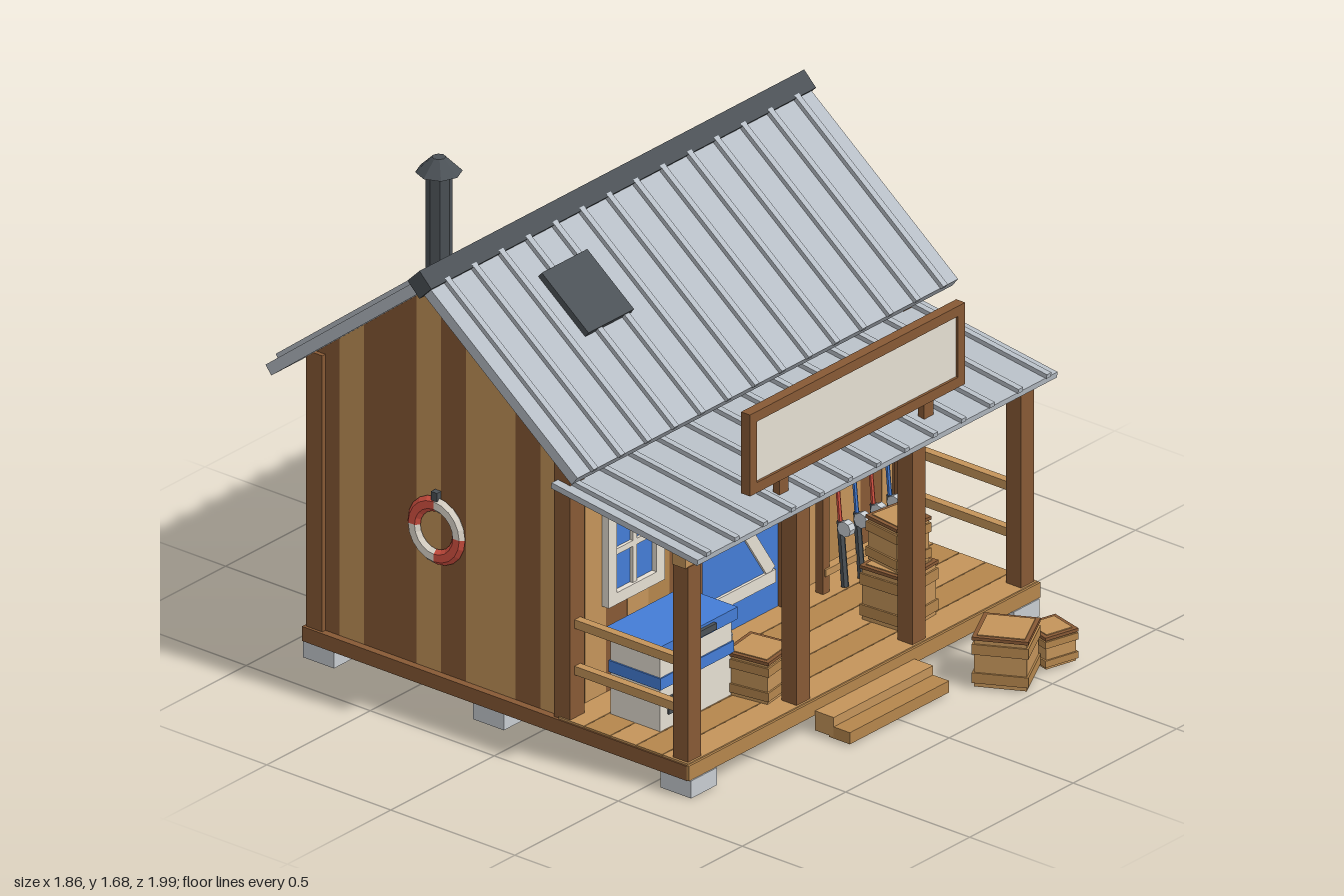
import * as THREE from 'three';

const mat = (name, color) => {
  const m = new THREE.MeshStandardMaterial({ color });
  m.name = name;
  m.flatShading = true;
  return m;
};

export function createModel() {
  const light = mat('light wood', 0xc4945a), mid = mat('mid wood', 0xb5864d), dark = mat('dark wood', 0x875935);
  const metal = mat('pale metal', 0xb6bdc5), stone = mat('pale stone', 0xc8cdd2), iron = mat('dark iron', 0x4b5156);
  const cream = mat('cream paint', 0xe6dfd3), blue = mat('blue paint', 0x447dd6);
  const orange = mat('orange paint', 0xe8883d), red = mat('red paint', 0xdb5444);
  const model = new THREE.Group();

  const add = (name, geo, m, parent = model) => {
    const mesh = new THREE.Mesh(geo, m);
    mesh.name = name;
    parent.add(mesh);
    return mesh;
  };
  // Box given by its min and max along each axis
  const box = (name, m, x0, x1, y0, y1, z0, z1, parent = model) => {
    const b = add(name, new THREE.BoxGeometry(x1 - x0, y1 - y0, z1 - z0), m, parent);
    b.position.set((x0 + x1) / 2, (y0 + y1) / 2, (z0 + z1) / 2);
    return b;
  };
  const cyl = (name, m, r0, r1, h, x, y, z, n = 8, parent = model) => {
    const c = add(name, new THREE.CylinderGeometry(r0, r1, h, n), m, parent);
    c.position.set(x, y, z);
    return c;
  };
  const group = (name, parent = model) => {
    const g = new THREE.Group();
    g.name = name;
    parent.add(g);
    return g;
  };
  const slab = (name, m, pts, depth, z, parent) => {
    const shape = new THREE.Shape(pts.map(p => new THREE.Vector2(p[0], p[1])));
    const s = add(name, new THREE.ExtrudeGeometry(shape, { depth, bevelEnabled: false }), m, parent);
    s.position.z = z;
    return s;
  };

  // Footings and floor
  for (const x of [-0.78, 0.78]) for (const z of [0.6, -0.155, -0.84])
    box('footing', stone, x - 0.062, x + 0.062, 0, 0.06, z - 0.062, z + 0.062);
  box('floorBase', dark, -0.85, 0.85, 0.06, 0.11, -0.9, 0.65);
  box('floorFascia', mid, -0.85, 0.85, 0.062, 0.113, 0.65, 0.66);
  for (let i = 0; i < 5; i++) {
    const z = 0.13 + i * 0.105;
    box('porchPlank', i % 2 ? mid : light, -0.845, 0.845, 0.1, 0.117, z, z + 0.102);
  }
  box('upperStep', light, -0.24, 0.24, 0.01, 0.077, 0.66, 0.735);
  box('lowerStep', mid, -0.24, 0.24, 0.005, 0.045, 0.715, 0.8);

  // Gable walls, drawn in (-z, y) and turned to face along x
  const gables = group('gableWalls');
  gables.rotation.y = Math.PI / 2;
  const cuts = [-0.13, -0.04, 0.06, 0.16, 0.26, 0.36, 0.46, 0.565, 0.67, 0.77, 0.87];
  const tones = [light, dark, light, light, dark, light, dark, dark, light, dark];
  const top = u => 1.455 - 0.786 * Math.abs(u - 0.36);
  tones.forEach((m, i) => {
    const a = cuts[i], b = cuts[i + 1];
    for (const x of [-0.825, 0.805])
      slab('gablePlank', m, [[a, 0.1], [b, 0.1], [b, top(b)], [a, top(a)]], 0.02, x, gables);
  });
  // Back and front walls
  [light, mid, dark, light, light, mid, dark, dark].forEach((m, i) => {
    const x = 0.82 - i * 0.205;
    box('backPlank', m, x - 0.204, x, 0.1, 1.055, -0.875, -0.855);
  });
  [light, light, dark, light, mid, dark, dark, light, light, dark, dark, light, mid, light, dark, light].forEach((m, i) => {
    const x = -0.82 + i * 0.1025;
    box('frontPlank', m, x, x + 0.1015, 0.1, 1.055, 0.11, 0.13);
  });
  for (const x of [-0.805, 0.805]) for (const z of [0.14, -0.86])
    box('cornerPost', dark, x - 0.035, x + 0.035, 0.1, 1.06, z - 0.033, z + 0.033);

  // Main roof: each slope is modelled lying along +z from the ridge, then tilted
  const slope = (name, y, z, angle, turn, halfWidth, length, thick, ribs, gap) => {
    const g = group(name);
    g.rotation.order = 'YXZ';
    g.rotation.set(angle, turn, 0);
    g.position.set(0, y, z);
    box('roofSheet', metal, -halfWidth, halfWidth, 0, thick, 0, length, g);
    for (let i = 0; i < ribs; i++) {
      const x = (i - (ribs - 1) / 2) * gap;
      box('roofRib', metal, x - 0.011, x + 0.011, thick, thick + 0.015, 0, length + 0.004, g);
    }
    return g;
  };
  const frontRoof = slope('frontRoof', 1.455, -0.36, 0.666, 0, 0.92, 0.77, 0.038, 14, 0.13);
  const backRoof = slope('backRoof', 1.455, -0.36, 0.666, Math.PI, 0.92, 0.77, 0.038, 14, 0.13);
  box('darkRoofPatch', iron, -0.515, -0.295, 0.038, 0.06, 0.14, 0.38, frontRoof);
  box('blueRoofPatch', blue, -0.635, -0.455, 0.038, 0.06, 0.2, 0.39, backRoof);
  const cap = box('ridgeCap', iron, -0.93, 0.93, 1.449, 1.517, -0.394, -0.326);
  cap.rotation.x = Math.PI / 4;
  slope('porchRoof', 0.91, 0.12, 0.142, 0, 0.87, 0.595, 0.02, 13, 0.137);
  cyl('stovePipe', iron, 0.042, 0.042, 0.45, -0.5, 1.405, -0.64);
  cyl('pipeCap', iron, 0.022, 0.074, 0.05, -0.5, 1.652, -0.64);

  // Porch posts, beam and side rails
  for (const x of [-0.805, -0.28, 0.28, 0.805])
    box('porchPost', dark, x - 0.032, x + 0.032, 0.11, 0.787, 0.585, 0.645);
  box('porchBeam', light, -0.845, 0.845, 0.785, 0.828, 0.588, 0.642);
  for (const x of [-0.805, 0.805]) for (const y of [0.28, 0.44])
    box('sideRail', light, x - 0.014, x + 0.014, y - 0.015, y + 0.015, 0.16, 0.6);

  // Blank sign board
  const sign = group('signBoard');
  box('signPanel', cream, -0.49, 0.49, 0.94, 1.16, 0.604, 0.622, sign);
  for (const y of [0.91, 1.155]) box('signFrame', dark, -0.52, 0.52, y, y + 0.035, 0.595, 0.631, sign);
  for (const s of [-1, 1]) {
    box('signFrame', dark, s * 0.503 - 0.017, s * 0.503 + 0.017, 0.91, 1.19, 0.595, 0.631, sign);
    box('signBracket', dark, s * 0.35 - 0.022, s * 0.35 + 0.022, 0.82, 0.92, 0.6, 0.626, sign);
  }

  // Door
  const door = group('door');
  box('doorPanel', blue, -0.195, 0.195, 0.115, 0.785, 0.13, 0.148, door);
  for (const s of [-1, 1]) box('doorFrame', dark, s * 0.222 - 0.028, s * 0.222 + 0.028, 0.115, 0.83, 0.13, 0.168, door);
  box('doorHeader', dark, -0.25, 0.25, 0.785, 0.835, 0.13, 0.168, door);
  for (const y of [0.21, 0.735]) box('doorBatten', cream, -0.172, 0.172, y, y + 0.045, 0.148, 0.158, door);
  const brace = box('doorBrace', cream, -0.021, 0.021, 0.21, 0.765, 0.148, 0.157, door);
  brace.rotation.z = 0.58;
  add('doorKnob', new THREE.SphereGeometry(0.022, 8, 6), stone, door).position.set(0.142, 0.48, 0.168);

  // Window
  const win = group('window');
  box('windowPane', blue, -0.62, -0.38, 0.43, 0.75, 0.13, 0.139, win);
  for (const x of [-0.616, -0.384]) box('windowFrame', cream, x - 0.02, x + 0.02, 0.42, 0.765, 0.13, 0.158, win);
  for (const y of [0.44, 0.745]) box('windowFrame', cream, -0.63, -0.37, y - 0.02, y + 0.02, 0.13, 0.158, win);
  box('windowBar', cream, -0.51, -0.49, 0.44, 0.745, 0.13, 0.15, win);
  box('windowBar', cream, -0.61, -0.39, 0.585, 0.605, 0.13, 0.15, win);

  // Cooler
  const cooler = group('cooler');
  box('coolerBody', cream, -0.725, -0.38, 0.115, 0.38, 0.24, 0.44, cooler);
  box('coolerBand', blue, -0.73, -0.375, 0.262, 0.302, 0.235, 0.445, cooler);
  box('coolerLid', blue, -0.74, -0.365, 0.375, 0.417, 0.23, 0.452, cooler);
  box('coolerHandle', iron, -0.62, -0.48, 0.386, 0.408, 0.452, 0.464, cooler);
  box('coolerLatch', iron, -0.69, -0.63, 0.165, 0.225, 0.44, 0.447, cooler);

  // Bucket of water
  const bucketProfile = [[0, 0], [0.04, 0], [0.055, 0.13], [0.05, 0.13], [0.047, 0.11]];
  const bucket = add('bucket', new THREE.LatheGeometry(bucketProfile.map(p => new THREE.Vector2(...p)), 10), stone);
  bucket.position.set(-0.285, 0.117, 0.295);
  cyl('bucketWater', blue, 0.05, 0.05, 0.008, -0.285, 0.239, 0.295, 10);

  // Crates
  const crate = (x, y, z, w, h, turn) => {
    const g = group('crate');
    g.position.set(x, y, z);
    g.rotation.y = turn;
    const r = w / 2;
    box('crateBody', light, -r + 0.006, r - 0.006, 0, h - 0.008, -r + 0.006, r - 0.006, g);
    for (const t of [0.08, 0.64]) box('crateBand', mid, -r, r, h * t, h * (t + 0.2), -r, r, g);
    box('crateRim', dark, -r, r, h - 0.014, h - 0.003, -r, r, g);
    box('crateLid', light, -r + 0.014, r - 0.014, h - 0.01, h, -r + 0.014, r - 0.014, g);
  };
  crate(0.435, 0.005, 0.867, 0.18, 0.175, 0.48);
  crate(0.625, 0.005, 0.887, 0.125, 0.115, -0.26);
  crate(0.375, 0.117, 0.485, 0.175, 0.19, 0.06);
  crate(0.385, 0.307, 0.475, 0.145, 0.155, -0.15);
  crate(-0.3, 0.117, 0.485, 0.165, 0.15, 0.15);

  // Rod rack with four fishing rods
  const rack = group('rodRack');
  for (const x of [0.36, 0.74]) box('rackPost', dark, x - 0.016, x + 0.016, 0.115, 0.595, 0.175, 0.205, rack);
  for (const y of [0.19, 0.54]) box('rackRail', light, 0.35, 0.75, y - 0.012, y + 0.012, 0.18, 0.212, rack);
  [0.43, 0.51, 0.59, 0.67].forEach((x, i) => {
    const rod = group('fishingRod', rack);
    rod.position.set(x, 0.12, 0.222);
    rod.rotation.x = -0.09;
    cyl('rodShaft', i % 2 ? blue : red, 0.006, 0.008, 0.56, 0, 0.4, 0, 6, rod);
    cyl('rodGrip', iron, 0.012, 0.013, 0.22, 0, 0.11, 0, 6, rod);
    cyl('rodReel', stone, 0.026, 0.026, 0.026, 0, 0.2, 0.024, 8, rod).rotation.z = Math.PI / 2;
  });

  // Hanging lantern
  const lantern = group('lantern');
  lantern.position.set(0.29, 0, 0.235);
  box('lanternArm', iron, -0.008, 0.008, 0.738, 0.752, -0.1, 0.01, lantern);
  cyl('lanternHook', iron, 0.004, 0.004, 0.04, 0, 0.728, 0, 6, lantern);
  cyl('lanternTop', iron, 0.015, 0.03, 0.016, 0, 0.712, 0, 8, lantern);
  cyl('lanternGlass', orange, 0.027, 0.027, 0.074, 0, 0.667, 0, 8, lantern);
  cyl('lanternBase', iron, 0.03, 0.03, 0.012, 0, 0.625, 0, 8, lantern);

  // Life ring on the right-hand wall
  const ring = group('lifeRing');
  ring.position.set(-0.836, 0.6, -0.37);
  ring.rotation.y = -Math.PI / 2;
  ring.scale.z = 0.6;
  for (let i = 0; i < 4; i++)
    add('ringSegment', new THREE.TorusGeometry(0.09, 0.026, 6, 5, Math.PI / 2), i % 2 ? red : cream, ring).rotation.z = i * Math.PI / 2;
  box('ringHook', iron, -0.012, 0.012, 0.105, 0.135, -0.015, 0.02, ring);

  // Wooden fish on the left-hand wall, drawn in (-z, y)
  const fish = group('fishOrnament');
  fish.rotation.y = Math.PI / 2;
  fish.position.x = 0.826;
  const outline = [[-0.045, 0.62], [-0.02, 0.54], [0.06, 0.48], [0.2, 0.455], [0.33, 0.465], [0.45, 0.525], [0.54, 0.6],
    [0.54, 0.655], [0.45, 0.735], [0.35, 0.775], [0.2, 0.785], [0.06, 0.75], [-0.02, 0.7]];
  const mx = 0.25, my = 0.62;
  // Faceted dome: shrinking copies of the outline closed by a fan
  const verts = [], faces = [], n = outline.length;
  [[1, 0], [1, 0.024], [0.84, 0.046], [0.5, 0.058], [0.001, 0.062]].forEach(([s, h]) =>
    outline.forEach(([u, y]) => verts.push(mx + (u - mx) * s, my + (y - my) * s, h)));
  for (let k = 0; k < 4; k++) for (let i = 0; i < n; i++) {
    const a = k * n + i, b = k * n + (i + 1) % n;
    faces.push(a, b, b + n, a, b + n, a + n);
  }
  const dome = new THREE.BufferGeometry();
  dome.setAttribute('position', new THREE.Float32BufferAttribute(verts, 3));
  dome.setIndex(faces);
  dome.computeVertexNormals();
  add('fishBody', dome, orange, fish);
  slab('fishBorder', cream, [[-0.067, 0.62], [-0.045, 0.53], [0.05, 0.458], [0.2, 0.43], [0.36, 0.447], [0.42, 0.52],
    [0.3, 0.7], [0.28, 0.8], [0.2, 0.81], [0.05, 0.778], [-0.042, 0.715]], 0.022, 0, fish);
  slab('fishTail', orange, [[0.5, 0.57], [0.56, 0.58], [0.72, 0.465], [0.69, 0.63], [0.72, 0.785], [0.56, 0.68], [0.5, 0.69]], 0.024, 0, fish);
  slab('tailTip', cream, [[0.672, 0.625], [0.705, 0.49], [0.77, 0.44], [0.718, 0.625], [0.765, 0.81], [0.705, 0.77]], 0.03, 0, fish);
  slab('topFin', red, [[0.245, 0.765], [0.465, 0.725], [0.41, 0.868], [0.28, 0.868]], 0.03, 0, fish);
  slab('bottomFin', red, [[0.32, 0.415], [0.395, 0.405], [0.445, 0.5], [0.34, 0.49]], 0.03, 0, fish);
  slab('fishStripe', cream, [[0.395, 0.535], [0.425, 0.535], [0.425, 0.715], [0.395, 0.715]], 0.06, 0, fish);
  slab('fishStripe', cream, [[0.505, 0.54], [0.53, 0.54], [0.53, 0.71], [0.505, 0.71]], 0.038, 0, fish);
  slab('fishGill', red, [[0.135, 0.54], [0.155, 0.54], [0.187, 0.69], [0.167, 0.69]], 0.066, 0, fish);
  cyl('fishEye', cream, 0.042, 0.042, 0.062, 0.07, 0.668, 0.031, 10, fish).rotation.x = Math.PI / 2;
  cyl('fishPupil', iron, 0.022, 0.022, 0.066, 0.07, 0.668, 0.035, 6, fish).rotation.x = Math.PI / 2;

  return model;
}
